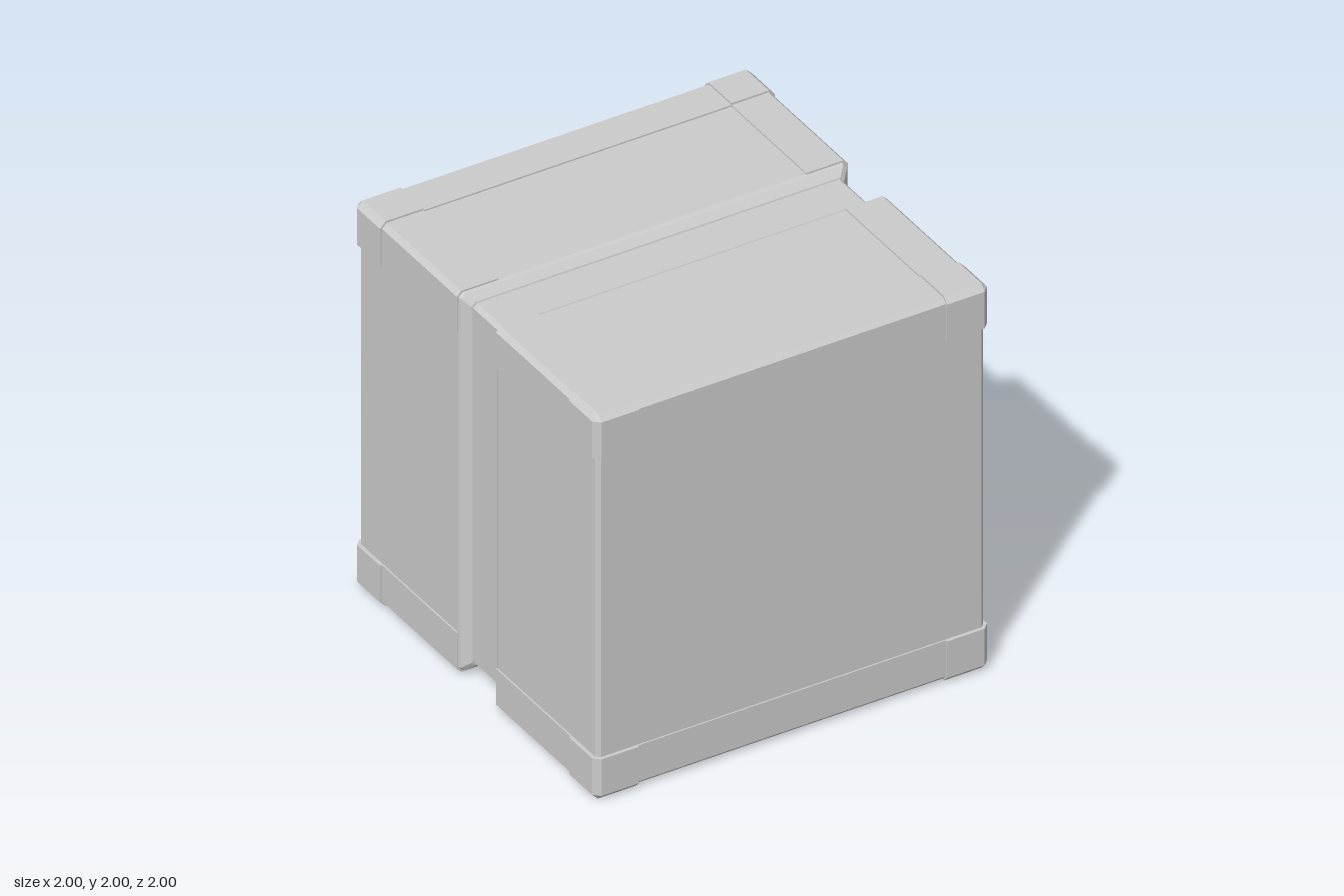
import * as THREE from 'three';
import { ConvexGeometry } from 'three/addons/geometries/ConvexGeometry.js';

const material = new THREE.MeshStandardMaterial({ color: 0xcccccc, flatShading: true });
const INNER = 0.78; // where the corner caps and edge trims stop

function add(parent, name, geometry) {
  const mesh = new THREE.Mesh(geometry, material);
  mesh.name = name;
  parent.add(mesh);
  return mesh;
}

// Lofts chamfered squares [half size, chamfer, z] along z and closes the last one
function loftSquares(sections) {
  const pos = [], index = [];
  for (const [h, c, z] of sections) {
    const k = h - c;
    for (const [x, y] of [[h, -k], [h, k], [k, h], [-k, h], [-h, k], [-h, -k], [-k, -h], [k, -h]]) pos.push(x, y, z);
  }
  for (let s = 0; s < sections.length - 1; s++) {
    for (let i = 0; i < 8; i++) {
      const a = s * 8 + i, b = s * 8 + (i + 1) % 8;
      index.push(a, b, b + 8, a, b + 8, a + 8);
    }
  }
  const last = (sections.length - 1) * 8;
  for (let i = 1; i < 7; i++) index.push(last, last + i, last + i + 1);
  const geometry = new THREE.BufferGeometry();
  geometry.setAttribute('position', new THREE.Float32BufferAttribute(pos, 3));
  geometry.setIndex(index);
  const flat = geometry.toNonIndexed();
  flat.computeVertexNormals();
  return flat;
}

// Edge trim: a square bar with its outer edge chamfered, running along z
function trimBar(length, quarterTurns) {
  const o = 0.99, k = 0.967;
  const profile = [[INNER, INNER], [o, INNER], [o, k], [k, o], [INNER, o]];
  const shape = new THREE.Shape(profile.map(([x, y]) => new THREE.Vector2(x, y)));
  return new THREE.ExtrudeGeometry(shape, { depth: length, bevelEnabled: false }).rotateZ(quarterTurns * Math.PI / 2);
}

// Corner cap: a block with its three outer edges and outer corner chamfered
function cornerCap(sx, sy) {
  const points = [], k = 0.97;
  for (const outer of [[1, k, k], [k, 1, k], [k, k, 1]]) {
    for (let bits = 0; bits < 8; bits++) {
      const [x, y, z] = outer.map((v, i) => ((bits >> i) & 1 ? v : INNER));
      points.push(new THREE.Vector3(sx * x, sy * y, z));
    }
  }
  return new ConvexGeometry(points);
}

function createHalf() {
  const half = new THREE.Group();
  // Body with a sloped lip towards the central groove
  add(half, 'bodyShell', loftSquares([
    [0.925, 0.02, 0.108], [0.945, 0.02, 0.115], [0.977, 0.02, 0.148],
    [0.982, 0.02, 0.165], [0.982, 0.02, 0.965], [0.963, 0.015, 0.983]
  ]));
  // Trims along the four edges that run front to back
  for (let i = 0; i < 4; i++) add(half, 'sideTrim', trimBar(INNER - 0.162, i)).position.z = 0.162;
  // Trims along the upper and lower outer edges
  for (const turns of [1, 2]) {
    add(half, 'endTrim', trimBar(2 * INNER, turns).translate(0, 0, -INNER).rotateY(Math.PI / 2));
  }
  // Caps on the four outer corners
  for (const sx of [-1, 1]) for (const sy of [-1, 1]) add(half, 'cornerCap', cornerCap(sx, sy));
  return half;
}

export function createModel() {
  const model = new THREE.Group();
  model.name = 'crate';
  // Recessed strip at the bottom of the central groove
  const core = add(model, 'grooveCore', loftSquares([[0.937, 0.02, -0.13], [0.937, 0.02, 0.13]]));
  core.position.y = 1;
  // Two matching halves, back to back
  for (const [name, turn] of [['frontHalf', 0], ['backHalf', Math.PI]]) {
    const half = createHalf();
    half.name = name;
    half.rotation.y = turn;
    half.position.y = 1;
    model.add(half);
  }
  return model;
}
